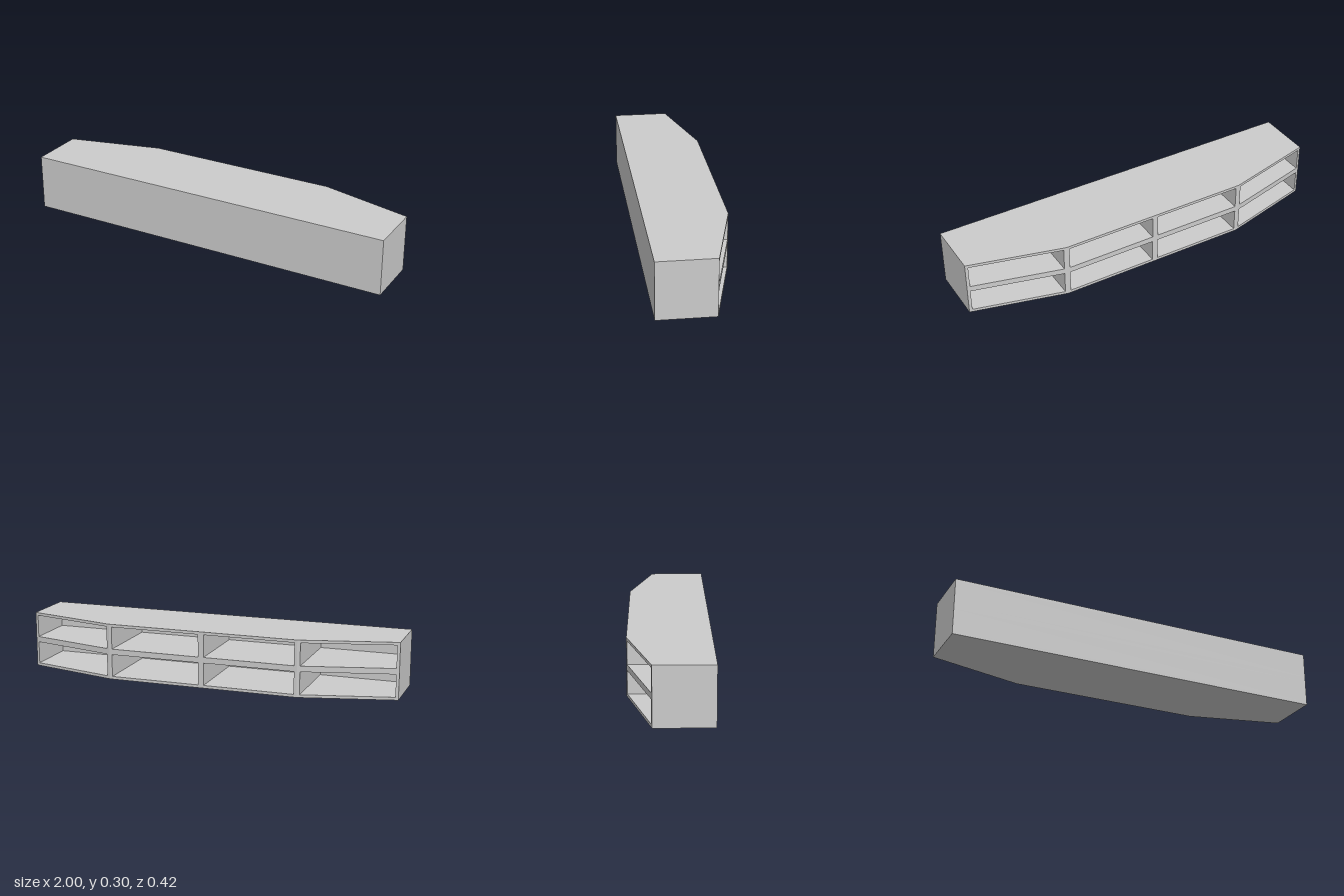
import * as THREE from 'three';

const HEIGHT = 0.296, FRONT = 0.209, BACK = -0.209, END_BACK = -0.085;
const CORNER = 0.51, WALL = 0.015;

// z of the faceted open side at a given x
function backZ(x) {
  const t = Math.max(0, (Math.abs(x) - CORNER) / (1 - CORNER));
  return BACK + t * (END_BACK - BACK);
}

export function createModel() {
  const group = new THREE.Group();
  group.name = 'shelfCounter';
  const material = new THREE.MeshStandardMaterial({ color: 0xcccccc, flatShading: true });

  // Upright prism from x0 to x1, from the front plane to the faceted side (or to a fixed back)
  function slab(name, x0, x1, y0, y1, front, back) {
    const xs = [x0, ...[-CORNER, CORNER].filter(x => x > x0 && x < x1), x1];
    const shape = new THREE.Shape([
      new THREE.Vector2(x0, -front),
      new THREE.Vector2(x1, -front),
      ...xs.reverse().map(x => new THREE.Vector2(x, -(back ?? backZ(x)))),
    ]);
    const geometry = new THREE.ExtrudeGeometry(shape, { depth: y1 - y0, bevelEnabled: false });
    geometry.rotateX(-Math.PI / 2);
    geometry.translate(0, y0, 0);
    const mesh = new THREE.Mesh(geometry, material);
    mesh.name = name;
    group.add(mesh);
  }

  // Horizontal boards: the middle one is two boards thick
  const mid = HEIGHT / 2;
  slab('bottomBoard', -1, 1, 0, WALL, FRONT);
  slab('middleShelf', -1, 1, mid - WALL, mid + WALL, FRONT);
  slab('topBoard', -1, 1, HEIGHT - WALL, HEIGHT, FRONT);

  // Each tier: closed front panel, end panels and double dividers
  for (const [y0, y1] of [[WALL, mid - WALL], [mid + WALL, HEIGHT - WALL]]) {
    slab('frontPanel', -1, 1, y0, y1, FRONT, FRONT - WALL);
    slab('rightEndPanel', -1, -1 + WALL, y0, y1, FRONT - WALL);
    slab('leftEndPanel', 1 - WALL, 1, y0, y1, FRONT - WALL);
    for (const x of [-CORNER, 0, CORNER]) {
      slab('divider', x - WALL, x + WALL, y0, y1, FRONT - WALL);
    }
  }
  return group;
}
